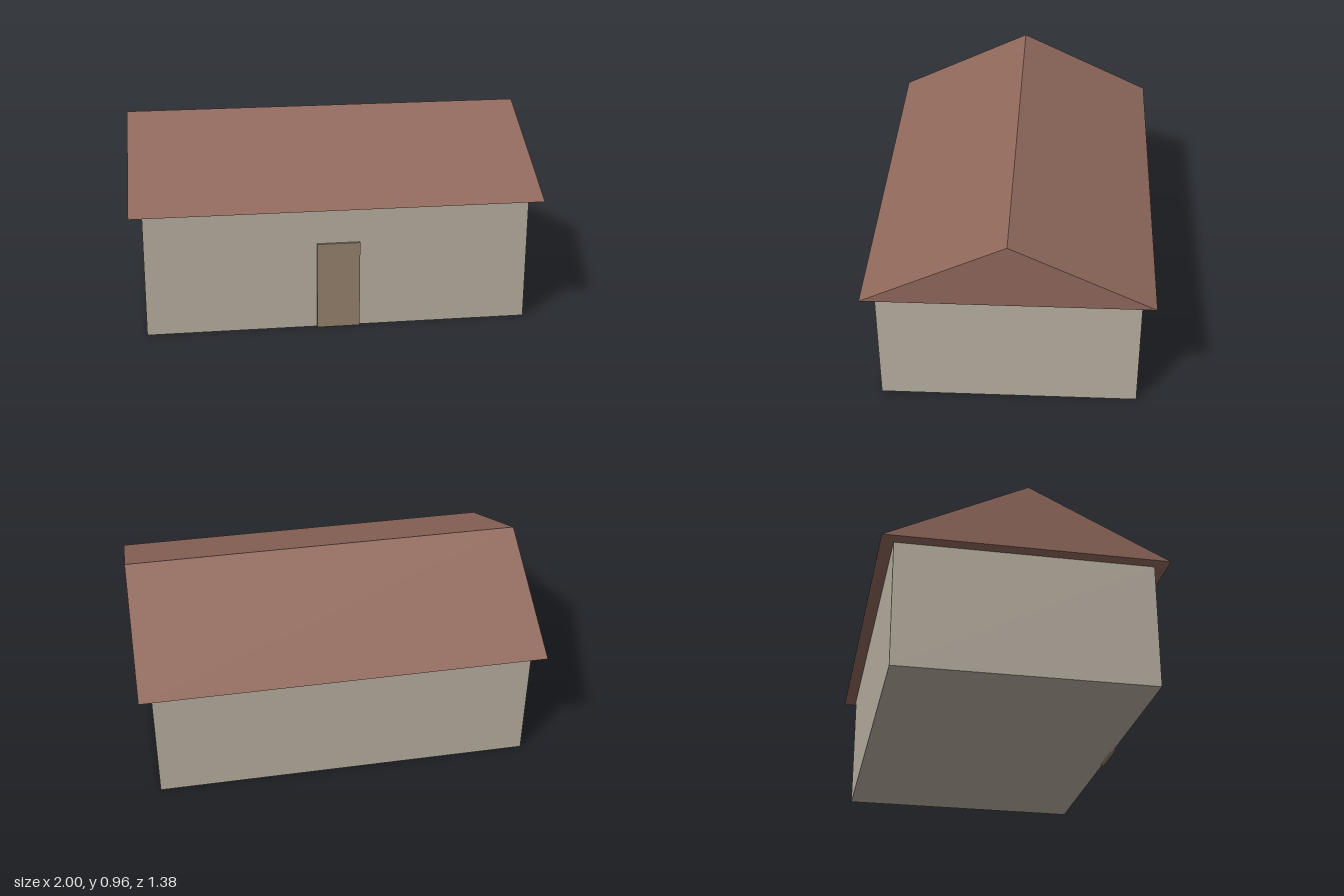
import * as THREE from 'three';

export function createModel() {
  const house = new THREE.Group();
  house.name = 'house';

  const material = (name, color) => {
    const m = new THREE.MeshStandardMaterial({ color });
    m.name = name;
    return m;
  };
  const plaster = material('plaster', 0xb8b0a2);
  const roofTile = material('roofTile', 0x91695c);
  const doorWood = material('doorWood', 0x98836d);

  const add = (name, geometry, mat, x, y, z) => {
    const mesh = new THREE.Mesh(geometry, mat);
    mesh.name = name;
    mesh.position.set(x, y, z);
    house.add(mesh);
  };

  const wallHeight = 0.625, wallDepth = 1.25;

  // Walls
  add('walls', new THREE.BoxGeometry(1.875, wallHeight, wallDepth), plaster, 0, wallHeight / 2, 0);

  // Gable roof: triangular prism running along x, overhanging the walls
  const gable = new THREE.Shape([
    new THREE.Vector2(-0.6875, 0),
    new THREE.Vector2(0.6875, 0),
    new THREE.Vector2(0, 0.333),
  ]);
  const roof = new THREE.ExtrudeGeometry(gable, { depth: 2, bevelEnabled: false });
  roof.translate(0, 0, -1).rotateY(Math.PI / 2);
  add('roof', roof, roofTile, 0, wallHeight, 0);

  // Front door, standing slightly proud of the wall
  add('door', new THREE.BoxGeometry(0.21, 0.4375, 0.025), doorWood, 0, 0.21875, wallDepth / 2);

  return house;
}
